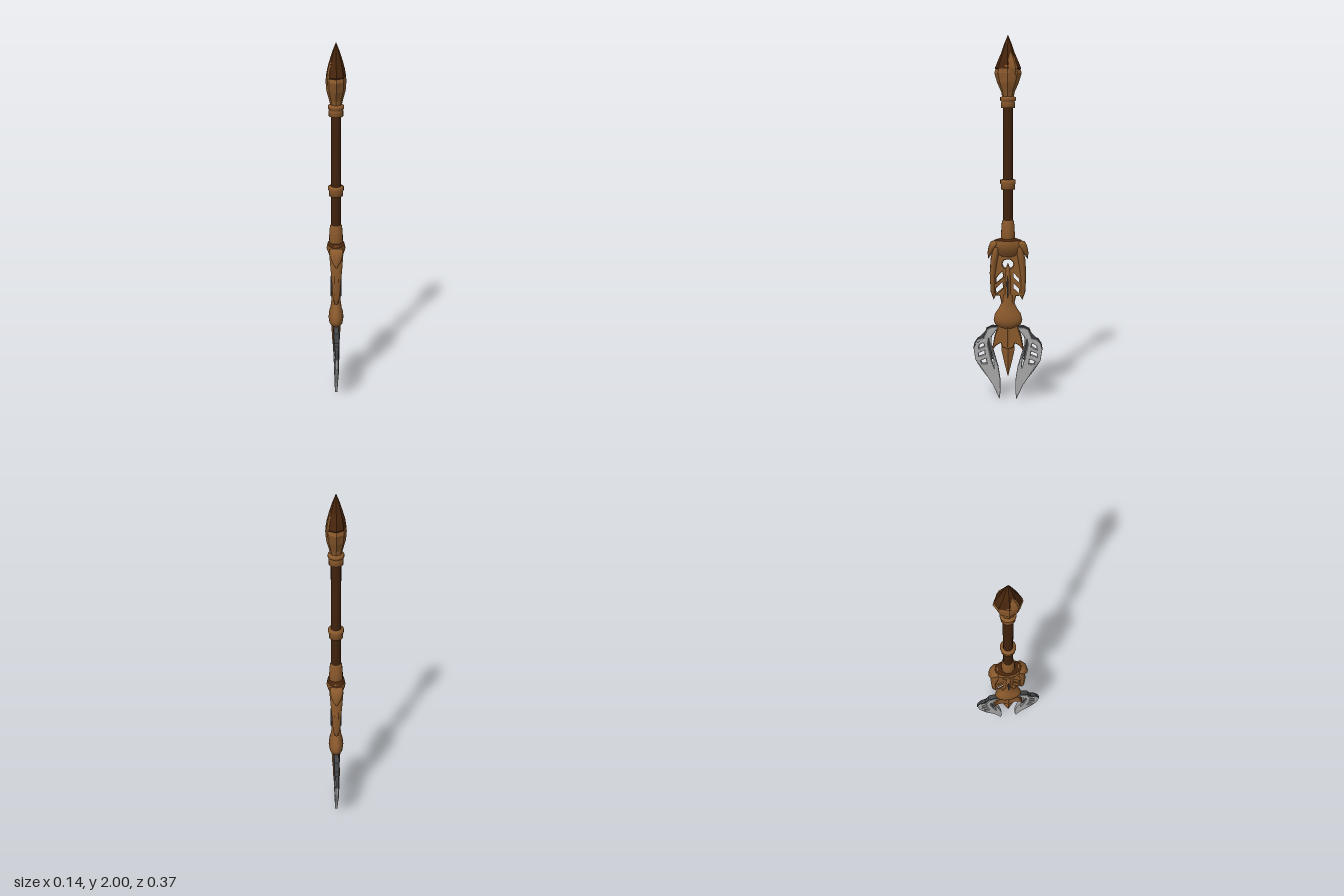
import * as THREE from 'three';

const mat = (name, color) => Object.assign(new THREE.MeshStandardMaterial({ color }), { name });

export function createModel() {
  const bronze = mat('bronze', 0x8a592c);
  const grip = mat('dark leather', 0x40220d);
  const umber = mat('umber', 0x47250c);
  const steel = mat('steel', 0xaaaaaa);
  const darkSteel = mat('dark steel', 0x434446);

  const model = new THREE.Group();
  model.name = 'spear';
  // Local x runs along the blade plane, which is turned away from the z axis
  const body = new THREE.Group();
  body.name = 'weapon';
  body.rotation.y = -1.246;
  model.add(body);

  const add = (name, geometry, material) => {
    const mesh = new THREE.Mesh(geometry, material);
    mesh.name = name;
    body.add(mesh);
  };

  // Skin over elliptical rings [y, radiusX, radiusZ, centreX, centreZ], bottom to top
  const loft = (name, rings, material, sides = 16, flat = false) => {
    const pos = [], index = [];
    rings.forEach(([y, rx, rz, cx = 0, cz = 0], i) => {
      for (let j = 0; j < sides; j++) {
        const a = (j / sides) * Math.PI * 2;
        pos.push(cx + rx * Math.cos(a), y, cz + rz * Math.sin(a));
        if (i === rings.length - 1) continue;
        const p = i * sides + j, q = i * sides + (j + 1) % sides;
        index.push(p, p + sides, q, q, p + sides, q + sides);
      }
    });
    let geo = new THREE.BufferGeometry();
    geo.setAttribute('position', new THREE.Float32BufferAttribute(pos, 3));
    geo.setIndex(index);
    if (flat) geo = geo.toNonIndexed();
    geo.computeVertexNormals();
    add(name, geo, material);
  };

  // Bevelled plate, with its thickness changed across the outline by a rule
  const plate = (name, points, holes, thick, material, rule = () => 1) => {
    const toVec = list => list.map(([x, y]) => new THREE.Vector2(x, y));
    const shape = new THREE.Shape(toVec(points));
    holes.forEach(h => shape.holes.push(new THREE.Path(toVec(h))));
    const bevel = Math.min(0.008, thick * 0.3);
    const geo = new THREE.ExtrudeGeometry(shape, {
      depth: thick - 2 * bevel, bevelThickness: bevel, bevelSize: 0.004, bevelOffset: -0.004, bevelSegments: 2
    });
    geo.translate(0, 0, bevel - thick / 2);
    const p = geo.attributes.position;
    for (let i = 0; i < p.count; i++) p.setZ(i, p.getZ(i) * rule(p.getX(i), p.getY(i)));
    geo.computeVertexNormals();
    add(name, geo, material);
  };
  const flip = (list, s) => list.map(([x, y]) => [x * s, y]);
  const mirrored = half => [...half, ...flip(half, -1).reverse().filter(([x]) => x !== 0)];

  // Shaft and collars
  loft('shaft', [[0.88, 0.027, 0.027], [1.64, 0.027, 0.027]], grip);
  const collar = (name, profile) =>
    add(name, new THREE.LatheGeometry(profile.map(([r, y]) => new THREE.Vector2(r, y)), 16), bronze);
  collar('upperCollar', [[0.026, 1.615], [0.038, 1.615], [0.038, 1.645], [0.034, 1.65], [0.042, 1.655], [0.042, 1.672], [0.02, 1.68]]);
  collar('middleCollar', [[0.026, 1.178], [0.038, 1.178], [0.038, 1.205], [0.042, 1.21], [0.042, 1.23], [0.026, 1.232]]);
  collar('lowerCollar', [[0.026, 0.88], [0.038, 0.9], [0.037, 0.95], [0.033, 1.005], [0.026, 1.01]]);

  // Faceted pommel in overlapping shells
  loft('pommelCup', [[1.665, 0.03, 0.028], [1.7, 0.036, 0.036], [1.75, 0.058, 0.05],
    [1.8, 0.073, 0.054], [1.84, 0.06, 0.05], [1.86, 0.042, 0.042]], bronze, 8, true);
  loft('pommelShell', [[1.8, 0.055, 0.045], [1.825, 0.07, 0.052], [1.86, 0.056, 0.046],
    [1.91, 0.034, 0.033]], umber, 8, true);
  for (const s of [1, -1]) {
    loft(s > 0 ? 'frontPetal' : 'backPetal', [[1.78, 0.03, 0.012, s * 0.018, s * 0.034],
      [1.825, 0.031, 0.013, s * 0.02, s * 0.038], [1.86, 0.026, 0.012, s * 0.018, s * 0.034],
      [1.9, 0.01, 0.009, s * 0.014, s * 0.025], [1.915, 0, 0, s * 0.013, s * 0.022]], bronze, 8, true);
  }
  loft('pommelTip', [[1.89, 0.03, 0.03], [1.905, 0.036, 0.034], [1.95, 0.021, 0.02], [2, 0, 0]], umber, 8, true);

  // Pierced openwork between shaft and neck
  const circle = Array.from({ length: 14 }, (_, i) =>
    [0.03 * Math.cos(i / 7 * Math.PI), 0.768 + 0.026 * Math.sin(i / 7 * Math.PI)]);
  const slots = [
    [[0.026, 0.695], [0.064, 0.662], [0.064, 0.69], [0.03, 0.727]],
    [[0.026, 0.635], [0.064, 0.602], [0.066, 0.632], [0.03, 0.667]]
  ];
  plate('openwork', mirrored([
    [0, 0.91], [0.06, 0.905], [0.085, 0.885], [0.09, 0.80], [0.1, 0.72], [0.095, 0.63],
    [0.078, 0.57], [0.066, 0.592], [0.045, 0.59], [0.036, 0.55], [0, 0.54]
  ]), [circle, ...slots, ...slots.map(s => flip(s, -1))], 0.028, bronze);
  // Split tongue rising into the round opening
  loft('innerStem', [[0.55, 0.024, 0.025], [0.62, 0.018, 0.027], [0.7, 0.018, 0.027],
    [0.74, 0.013, 0.02], [0.775, 0, 0]], bronze, 8);
  plate('stemSlit', mirrored([[0, 0.58], [0.005, 0.6], [0.006, 0.67], [0, 0.71]]), [], 0.06, darkSteel);
  // Rounded crown over the openwork, with a dark top
  loft('crown', [[0.81, 0.05, 0.016], [0.84, 0.08, 0.038], [0.875, 0.085, 0.052], [0.9, 0.074, 0.047]], bronze);
  loft('crownTop', [[0.9, 0.074, 0.047], [0.912, 0.035, 0.035]], umber);
  for (const s of [1, -1]) {
    const side = s > 0 ? 'left' : 'right';
    // Shoulder hook and hanging arm
    loft(side + 'Shoulder', [[0.795, 0, 0, s * 0.108], [0.83, 0.014, 0.024, s * 0.098], [0.865, 0.026, 0.038, s * 0.08],
      [0.89, 0.026, 0.038, s * 0.068], [0.903, 0, 0, s * 0.06]], bronze, 10);
    loft(side + 'Arm', [[0.565, 0, 0, s * 0.078], [0.61, 0.013, 0.02, s * 0.082], [0.7, 0.016, 0.026, s * 0.084],
      [0.79, 0.021, 0.034, s * 0.075], [0.86, 0.02, 0.04, s * 0.062], [0.89, 0, 0, s * 0.055]], bronze, 10);
  }

  // Neck and flared guard
  loft('neck', [[0.41, 0.045, 0.022], [0.43, 0.072, 0.038], [0.455, 0.079, 0.042], [0.49, 0.071, 0.039],
    [0.52, 0.05, 0.031], [0.56, 0.032, 0.026], [0.6, 0.03, 0.025]], bronze);
  plate('guard', mirrored([
    [0, 0.45], [0.05, 0.45], [0.058, 0.41], [0.075, 0.36], [0.088, 0.28], [0.065, 0.31],
    [0.04, 0.325], [0.03, 0.30], [0, 0.29]
  ]), [], 0.038, bronze);
  // Central spike, ridged along its middle
  loft('spike', [[0.13, 0, 0], [0.2, 0.018, 0.01], [0.28, 0.036, 0.018], [0.33, 0.034, 0.023],
    [0.42, 0.045, 0.026]], bronze, 4, true);

  // Pair of curved pierced blades
  const outline = [
    [0.05, 0.415], [0.085, 0.418], [0.115, 0.405], [0.125, 0.378], [0.135, 0.355], [0.165, 0.348], [0.182, 0.322],
    [0.19, 0.285], [0.181, 0.225], [0.146, 0.17], [0.112, 0.125], [0.082, 0.08], [0.047, 0], [0.041, 0.05],
    [0.043, 0.12], [0.054, 0.19], [0.074, 0.26], [0.093, 0.32], [0.09, 0.36]
  ];
  const piercings = [
    [[0.13, 0.305], [0.16, 0.29], [0.158, 0.31], [0.136, 0.324]],
    [[0.128, 0.258], [0.16, 0.246], [0.162, 0.264], [0.13, 0.28]],
    [[0.118, 0.208], [0.142, 0.206], [0.15, 0.222], [0.122, 0.234]],
    [[0.076, 0.18], [0.09, 0.225], [0.11, 0.32], [0.106, 0.35], [0.1, 0.32], [0.082, 0.235]]
  ];
  // Dark strip along the upper edge, and dark web in the long slit
  const rim = [
    [0.05, 0.42], [0.086, 0.423], [0.118, 0.408], [0.129, 0.379], [0.138, 0.359], [0.167, 0.352], [0.186, 0.323],
    [0.193, 0.285], [0.187, 0.287], [0.179, 0.32], [0.163, 0.344], [0.133, 0.351], [0.122, 0.375],
    [0.112, 0.401], [0.085, 0.413], [0.05, 0.411]
  ];
  const web = [[0.084, 0.23], [0.094, 0.23], [0.114, 0.32], [0.107, 0.355], [0.096, 0.32]];
  const taper = (x, y) => Math.min(1, 0.45 + y * 2) * (1 - 0.45 * THREE.MathUtils.smoothstep(Math.abs(x), 0.14, 0.19));
  for (const s of [1, -1]) {
    const side = s > 0 ? 'left' : 'right';
    plate(side + 'Blade', flip(outline, s), piercings.map(h => flip(h, s)), 0.032, steel, taper);
    plate(side + 'BladeRim', flip(rim, s), [], 0.03, darkSteel, taper);
    plate(side + 'BladeWeb', flip(web, s), [], 0.014, darkSteel);
  }
  return model;
}
